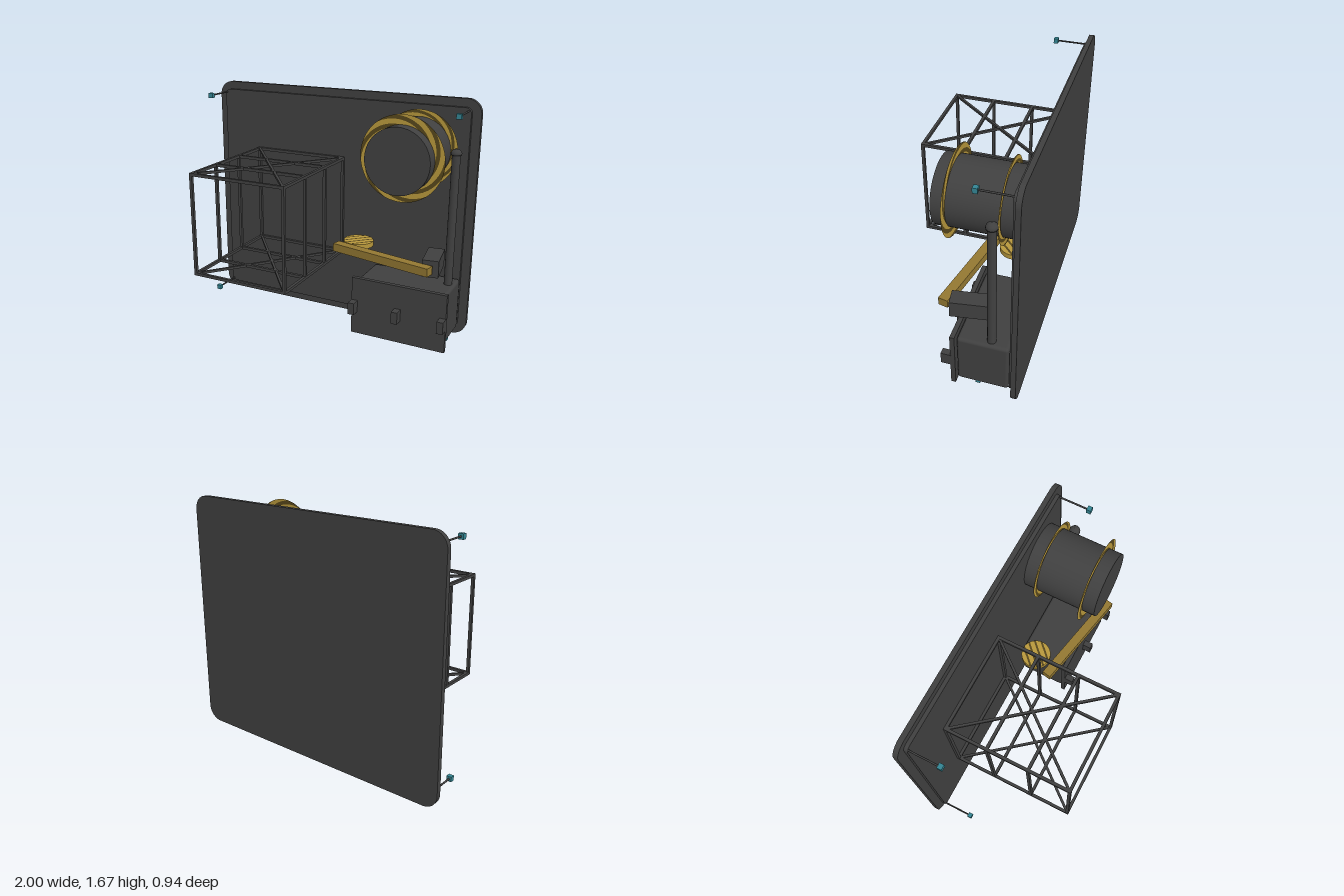
import * as THREE from 'three';
import { RoundedBoxGeometry } from 'three/addons/geometries/RoundedBoxGeometry.js';

const mat = (name, color) => {
  const m = new THREE.MeshStandardMaterial({ color });
  m.name = name;
  return m;
};

export function createModel() {
  const grey = mat('charcoal', 0x404040);
  const gold = mat('gold', 0xb8983c);
  const darkGold = mat('darkGold', 0x57471b);
  const ochre = mat('ochre', 0x937832);
  const teal = mat('teal', 0x348593);
  const goldSheet = gold.clone(), darkSheet = darkGold.clone();
  goldSheet.side = darkSheet.side = THREE.DoubleSide;

  const model = new THREE.Group();
  model.name = 'equipmentPanel';

  const add = (name, geo, material, x = 0, y = 0, z = 0, parent = model) => {
    const mesh = new THREE.Mesh(geo, material);
    mesh.name = name;
    mesh.position.set(x, y, z);
    parent.add(mesh);
    return mesh;
  };
  // Box given by its limits on each axis
  const span = (name, [x0, x1], [y0, y1], [z0, z1], material = grey, parent = model) =>
    add(name, new THREE.BoxGeometry(x1 - x0, y1 - y0, z1 - z0), material,
      (x0 + x1) / 2, (y0 + y1) / 2, (z0 + z1) / 2, parent);

  // Rounded upright plate, extruded along z
  const plate = (name, w, h, r, z0, z1) => {
    const s = new THREE.Shape(), a = w / 2 - r, b = h / 2 - r;
    s.absarc(a, b, r, 0, Math.PI / 2);
    s.absarc(-a, b, r, Math.PI / 2, Math.PI);
    s.absarc(-a, -b, r, Math.PI, Math.PI * 1.5);
    s.absarc(a, -b, r, Math.PI * 1.5, Math.PI * 2);
    const geo = new THREE.ExtrudeGeometry(s, { depth: z1 - z0, bevelEnabled: false, curveSegments: 8 });
    add(name, geo, grey, 0, 0.835, z0);
  };
  plate('backPlate', 2, 1.667, 0.1, -0.47, -0.437);
  plate('innerPlate', 1.88, 1.557, 0.04, -0.437, -0.412);

  // Corner markers on thin rods
  for (const x of [-0.928, 0.922]) for (const y of [0.075, 1.592]) {
    const rod = add('markerRod', new THREE.CylinderGeometry(0.006, 0.006, 0.21, 8), grey, x, y, -0.315);
    rod.rotation.x = Math.PI / 2;
    add('marker', new THREE.BoxGeometry(0.034, 0.034, 0.03), teal, x, y, -0.205);
  }

  // Open truss
  const truss = new THREE.Group();
  truss.name = 'truss';
  model.add(truss);
  const bar = (name, a, b, t = 0.02) => {
    const p = new THREE.Vector3(...a), q = new THREE.Vector3(...b);
    const m = add(name, new THREE.BoxGeometry(t, t, p.distanceTo(q) + (t > 0.018 ? t : 0)), grey, 0, 0, 0, truss);
    m.position.copy(p).add(q).multiplyScalar(0.5);
    m.lookAt(q);
  };
  const xs = [-0.648, 0.042], ys = [0.487, 1.187], zs = [-0.402, -0.115, 0.172, 0.455];
  for (const y of ys) {
    for (const x of xs) bar('trussRail', [x, y, zs[0]], [x, y, zs[3]]);
    for (const z of zs) bar('trussCrossbar', [xs[0], y, z], [xs[1], y, z]);
    bar('trussDiagonal', [xs[0], y, zs[0]], [xs[1], y, zs[3]], 0.017);
    bar('trussDiagonal', [xs[1], y, zs[0]], [xs[0], y, zs[3]], 0.017);
  }
  for (const x of xs) for (const z of zs) bar('trussPost', [x, ys[0], z], [x, ys[1], z]);

  // Drum facing forward
  const drum = add('drum', new THREE.CylinderGeometry(0.215, 0.215, 0.5, 64), grey, 0.632, 1.335, -0.16);
  drum.rotation.x = Math.PI / 2;

  // Flat collars with swirling two-tone stripes
  const collar = (outer, z) => {
    const inner = 0.214, pairs = 6, step = Math.PI * 2 / pairs;
    for (let i = 0; i < pairs; i++) {
      [[0, 0.55, goldSheet, 'collarGoldStripe'], [0.55, 0.45, darkSheet, 'collarDarkStripe']]
        .forEach(([from, part, m, name]) => {
          const geo = new THREE.RingGeometry(inner, outer, 16, 8, (i + from) * step, part * step);
          const p = geo.attributes.position;
          for (let k = 0; k < p.count; k++) {
            const r = Math.hypot(p.getX(k), p.getY(k));
            const a = Math.atan2(p.getY(k), p.getX(k)) + 1.2 * (r - inner) / (outer - inner);
            p.setXY(k, r * Math.cos(a), r * Math.sin(a));
          }
          add(name, geo, m, 0.633, 1.335, z);
        });
    }
  };
  collar(0.28, 0.003);
  collar(0.262, -0.318);

  // Control box with front panel and knobs
  add('controlBox', new RoundedBoxGeometry(0.63, 0.365, 0.335, 3, 0.02), grey, 0.63, 0.2525, -0.238);
  span('controlPanel', [0.295, 0.968], [0.047, 0.46], [-0.066, -0.035]);
  span('panelMount', [0.35, 0.91], [0.1, 0.41], [-0.075, -0.06]);
  span('bottomVent', [0.36, 0.9], [0.057, 0.075], [-0.375, -0.19]);
  for (const x of [0.317, 0.632, 0.947])
    span('knob', [x - 0.022, x + 0.022], [0.21, 0.295], [-0.04, 0.028]);

  // Pole with a domed cap
  add('pole', new THREE.CylinderGeometry(0.028, 0.028, 0.92, 24), grey, 0.895, 0.88, -0.285);
  const cap = [[0, 0], [0.036, 0], [0.036, 0.012], [0.031, 0.025], [0.018, 0.036], [0, 0.04]]
    .map(([x, y]) => new THREE.Vector2(x, y));
  add('poleCap', new THREE.LatheGeometry(cap, 24), grey, 0.895, 1.33, -0.285);

  // Arm bracket and swinging arm
  const bracket = add('armBracket', new THREE.BoxGeometry(0.108, 0.115, 0.24), grey, 0.833, 0.635, -0.128);
  bracket.rotation.y = 0.15;
  const arm = add('arm', new THREE.BoxGeometry(0.742, 0.056, 0.065), ochre, 0.499, 0.636, -0.037);
  arm.rotation.y = -0.2;

  // Round pad with diagonal stripes on both faces
  const R = 0.104;
  const pad = new THREE.Group();
  pad.name = 'pad';
  pad.position.set(0.245, 0.638, -0.25);
  pad.rotation.y = Math.PI / 4;
  model.add(pad);
  add('padBody', new THREE.CylinderGeometry(R, R, 0.036, 40), gold, 0, 0, 0, pad);
  for (const d of [-0.066, -0.022, 0.022, 0.066]) {
    const a0 = Math.asin((d - 0.007) / R), a1 = Math.asin((d + 0.007) / R);
    const s = new THREE.Shape();
    s.absarc(0, 0, R, a0, a1);
    s.absarc(0, 0, R, Math.PI - a1, Math.PI - a0);
    for (const side of [-1, 1]) {
      const m = add('padStripe', new THREE.ShapeGeometry(s, 4), darkSheet, 0, side * 0.0195, 0, pad);
      m.rotation.x = -Math.PI / 2;
    }
  }
  return model;
}
